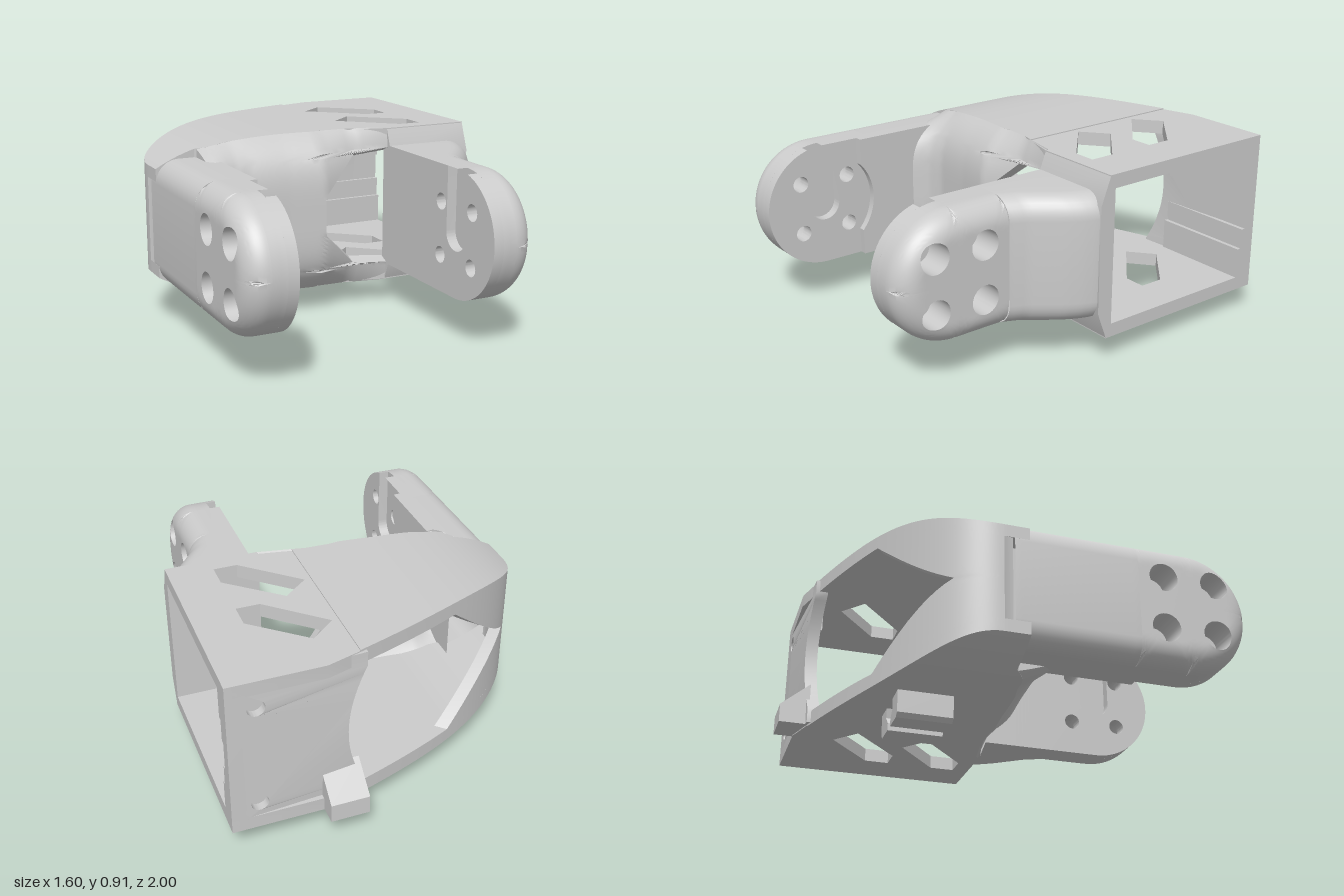
import * as THREE from 'three';
import { mergeGeometries, toCreasedNormals } from 'three/addons/utils/BufferGeometryUtils.js';

const MID = 0.515;          // height of the symmetry plane
const AZ = 0.695, AR = 0.305; // centre and radius of the rounded arm ends
const mat = new THREE.MeshStandardMaterial({ color: 0xcccccc, side: THREE.DoubleSide });
const V2 = (x, y) => new THREE.Vector2(x, y);

function add(parent, name, geo, crease = 0.6) {
  const m = new THREE.Mesh(toCreasedNormals(geo, crease), mat);
  m.name = name;
  parent.add(m);
  return m;
}

// Piecewise linear rule through [x, value] pairs
function interp(p, x) {
  for (let i = 1; i < p.length; i++) if (x <= p[i][0]) {
    const k = Math.max(0, (x - p[i - 1][0]) / (p[i][0] - p[i - 1][0]));
    return p[i - 1][1] + k * (p[i][1] - p[i - 1][1]);
  }
  return p[p.length - 1][1];
}

// Surface grid from f(u, v) -> [x, y, z]
function grid(f, nu, nv) {
  const pos = [], idx = [];
  for (let i = 0; i <= nu; i++) for (let j = 0; j <= nv; j++) pos.push(...f(i / nu, j / nv));
  for (let i = 0; i < nu; i++) for (let j = 0; j < nv; j++) {
    const a = i * (nv + 1) + j, b = a + nv + 1;
    idx.push(a, b, a + 1, b, b + 1, a + 1);
  }
  const g = new THREE.BufferGeometry();
  g.setAttribute('position', new THREE.Float32BufferAttribute(pos, 3));
  g.setIndex(idx);
  return g;
}

// Solid sheet between two surfaces
function slab(f, g, nu, nv) {
  const mix = (a, b, k) => a.map((c, i) => c + (b[i] - c) * k);
  return mergeGeometries([
    grid(f, nu, nv), grid((u, v) => g(1 - u, v), nu, nv),
    ...[0, 1].map(e => grid((u, k) => mix(f(u, e), g(u, e), k), nu, 1)),
    ...[0, 1].map(e => grid((k, v) => mix(f(e, v), g(e, v), k), 1, nv)),
  ]);
}

// Extrusions: profile in (z, y) along x, and profile in (x, y) along z
function extrudeX(shape, x0, x1) {
  return new THREE.ExtrudeGeometry(shape, { depth: x1 - x0, bevelEnabled: false, curveSegments: 20 })
    .rotateY(Math.PI / 2).translate(x0, 0, 0);
}
const profileX = (pts, x0, x1) => extrudeX(new THREE.Shape(pts.map(([z, y]) => V2(-z, y))), x0, x1);
function extrudeZ(shape, z0, z1) {
  return new THREE.ExtrudeGeometry(shape, { depth: z1 - z0, bevelEnabled: false, curveSegments: 20 }).translate(0, 0, z0);
}
const hole = (x, y, r) => new THREE.Path().absarc(x, y, r, 0, Math.PI * 2);

// Hull rules: back outline, crown height, front outline and its rounding
const backZ = x => -0.2 - 0.663 * Math.pow(Math.max(0, x + 0.8), 0.462);
const crown = x => 0.91 - 0.13 * Math.pow(Math.max(0, 1 - (x + 0.8) / 0.9), 4);
const frontZ = x => interp([[-0.57, 0.24], [-0.53, 0.19], [-0.48, 0.135], [-0.4, 0.11], [-0.2, 0.12], [-0.02, 0.14], [0.17, 0.07], [0.36, 0.07]], x);
const round = x => interp([[-0.6, 0.32], [-0.5, 0.18], [-0.4, 0.13], [0, 0.14], [0.2, 0.06], [0.36, 0.03]], x);

// One bolt arm; local x runs outwards from the inner face
function arm(name, z0, width) {
  const g = new THREE.Group(), w = 0.23, r = 0.11, zs = 0.44;
  g.name = name;
  const stadium = slot => {
    const s = new THREE.Shape();
    s.moveTo(-zs, MID - AR).lineTo(-zs, MID + AR).lineTo(-AZ, MID + AR);
    if (slot) {
      const a = Math.PI / 2 + Math.asin(0.08 / AR);
      s.curves.pop();
      s.lineTo(-AZ + 0.08, MID + AR).lineTo(-AZ + 0.08, MID);
      s.absarc(-AZ, MID, 0.08, 0, -Math.PI, true);
      s.absarc(-AZ, MID, AR, a, Math.PI * 1.5, false);
    } else s.absarc(-AZ, MID, AR, Math.PI / 2, Math.PI * 1.5, false);
    for (const z of [0.565, 0.82]) for (const k of [-1, 1]) s.holes.push(hole(-z, MID + k * 0.128, 0.04));
    return s;
  };
  add(g, 'slottedInnerFace', extrudeX(stadium(true), 0, 0.05));
  add(g, 'boltFloor', extrudeX(stadium(false), 0.05, 0.08));
  // Rounded outer face, one patch round each counterbore
  const outer = (z, y) => {
    const d = Math.max(0, AR - (z > AZ ? Math.hypot(z - AZ, y) : Math.abs(y)));
    return d >= r ? w : w - r + Math.sqrt(Math.max(0, r * r - (r - d) ** 2));
  };
  const parts = [];
  for (const cz of [0.565, 0.82]) for (const k of [-1, 1]) {
    const edge = [], N = 10;
    const line = (a, b) => { for (let i = 0; i < N; i++) edge.push([a[0] + (b[0] - a[0]) * i / N, a[1] + (b[1] - a[1]) * i / N]); };
    if (cz < AZ) {
      line([zs, 0], [AZ, 0]); line([AZ, 0], [AZ, AR]); line([AZ, AR], [zs, AR]); line([zs, AR], [zs, 0]);
    } else {
      line([AZ, 0], [AZ + AR, 0]);
      for (let i = 0; i < 20; i++) edge.push([AZ + AR * Math.cos(i * Math.PI / 40), AR * Math.sin(i * Math.PI / 40)]);
      line([AZ, AR], [AZ, 0]);
    }
    edge.push(edge[0]);
    const n = edge.length - 1;
    const rim = u => {
      const e = edge[Math.round(u * n)], a = Math.atan2(e[1] - 0.128, e[0] - cz);
      return [e, [cz + 0.07 * Math.cos(a), 0.128 + 0.07 * Math.sin(a)]];
    };
    parts.push(grid((u, v) => {
      const [e, h] = rim(u), q = 1 - (1 - v) ** 2;
      const z = h[0] + (e[0] - h[0]) * q, y = h[1] + (e[1] - h[1]) * q;
      return [outer(z, y), MID + k * y, z];
    }, n, 14));
    parts.push(grid((u, v) => {
      const h = rim(u)[1];
      return [0.08 + (outer(...h) - 0.08) * v, MID + k * h[1], h[0]];
    }, n, 1));
  }
  parts.push(grid((u, v) => {
    const a = Math.PI * (u - 0.5);
    return [0.08 + v * (w - r - 0.08), MID + AR * Math.sin(a), AZ + AR * Math.cos(a)];
  }, 40, 1));
  for (const k of [-1, 1]) parts.push(grid((u, v) => [0.08 + v * (w - r - 0.08), MID + k * AR, zs + u * (AZ - zs)], 1, 1));
  add(g, 'roundedOuterFace', mergeGeometries(parts), 0.5);
  // Root of the arm, a rounded section swept along z
  add(g, 'armRoot', grid((u, v) => {
    const z = z0 + (zs - z0) * u, W = width(z), pts = [[0, -AR], [0, AR]];
    for (let i = 0; i <= 8; i++) pts.push([W - r + r * Math.sin(i * Math.PI / 16), AR - r + r * Math.cos(i * Math.PI / 16)]);
    for (let i = 8; i >= 0; i--) pts.push([W - r + r * Math.sin(i * Math.PI / 16), r - AR - r * Math.cos(i * Math.PI / 16)]);
    pts.push(pts[0]);
    const p = pts[Math.round(v * (pts.length - 1))];
    return [p[0], MID + p[1], z];
  }, 20, 20), 0.5);
  return g;
}

export function createModel() {
  const model = new THREE.Group();
  model.name = 'bracket';

  // Domed upper and lower skins, and the flat window plates beside them
  for (const s of [1, -1]) {
    const skin = lower => (u, v) => {
      const x = -0.8 + u * u, z0 = backZ(x), z = z0 + v * (frontZ(x) - round(x) - z0);
      const y = lower ? Math.min(0.84, crown(x) - 0.06) : crown(x);
      return [x, MID + s * (y - MID), z];
    };
    add(model, s > 0 ? 'topSkin' : 'bottomSkin', slab(skin(false), skin(true), 32, 10));
    const plate = new THREE.Shape([V2(0.2, backZ(0.2)), V2(0.36, -0.91), V2(0.8, -0.91), V2(0.8, 0.05), V2(0.36, 0.05), V2(0.2, 0.01)]);
    for (const d of [0, 0.35]) plate.holes.push(new THREE.Path(
      [[0.23, -0.61], [0.35, -0.71], [0.59, -0.5], [0.59, -0.38], [0.48, -0.38]].map(([x, z]) => V2(x, z + d))));
    const geo = extrudeZ(plate, 0, 0.065).rotateX(Math.PI / 2).translate(0, s > 0 ? 0.905 : 0.19, 0);
    add(model, s > 0 ? 'topWindowPlate' : 'bottomWindowPlate', geo);
  }

  // Front wall, ending at the angular opening
  const front = depth => (u, v) => {
    const t = 2 * v - 1, dy = Math.abs(t) * 0.395;
    const xr = dy < 0.095 ? -0.02 : dy < 0.286 ? -0.02 + 0.2 * (dy - 0.095) / 0.19 : 0.36;
    const x = -0.6 + u * (xr + 0.6);
    return [x, MID + t * (crown(x) - MID - depth * 0.6), frontZ(x) - round(x) * t ** 4 - depth];
  };
  add(model, 'frontWall', slab(front(0), front(0.05), 30, 40));

  // Curved back wall, cut to a notch
  const back = depth => (u, v) => {
    const t = 2 * v - 1, xl = -0.72 + 0.47 * Math.abs(t);
    const x = -0.8 + (xl + 0.8) * u * u;
    return [x + depth * 0.6, MID + t * (crown(x) - MID - depth * 0.3), backZ(x) + depth];
  };
  add(model, 'curvedBackWall', slab(back(0), back(0.05), 24, 32));

  // Flat back wall with an arched edge and screw holes
  const wall = new THREE.Shape();
  wall.moveTo(0.8, 0.13).lineTo(0.8, 0.9).lineTo(0.17, 0.9).lineTo(0.17, 0.83);
  wall.quadraticCurveTo(0.35, MID, 0.17, 0.2).lineTo(0.17, 0.13).lineTo(0.8, 0.13);
  for (const y of [0.26, 0.77]) wall.holes.push(hole(0.67, y, 0.04));
  const wallGeo = extrudeZ(wall, -0.91, -0.85), wp = wallGeo.attributes.position;
  for (let i = 0; i < wp.count; i++) wp.setZ(i, wp.getZ(i) + Math.max(0, 0.36 - wp.getX(i)) * 0.2);
  add(model, 'backWall', wallGeo);

  // Stepped guide rails inside the back wall
  for (const [y0, y1, z1] of [[0.19, 0.34, -0.81], [0.34, 0.44, -0.83], [0.58, 0.69, -0.83], [0.69, 0.85, -0.81]])
    add(model, 'guideRail', new THREE.BoxGeometry(0.5, y1 - y0, z1 + 0.87).translate(0.55, (y0 + y1) / 2, (z1 - 0.87) / 2));

  // Bevelled front frame of the open housing
  add(model, 'frontFrame', profileX([[0.02, 0.13], [0.05, 0.13], [0.1, 0.26], [0.1, 0.77], [0.05, 0.9], [0.02, 0.9]], 0.36, 0.8));

  // Arms: a straight one and a flared one
  const straight = arm('rightArm', -0.15, () => 0.23);
  straight.scale.x = -1;
  straight.position.x = -0.57;
  const flared = arm('leftArm', 0.05, z => interp([[0.05, 0.44], [0.1, 0.435], [0.16, 0.41], [0.22, 0.375], [0.28, 0.33], [0.36, 0.27], [0.44, 0.235]], z));
  flared.position.x = 0.36;
  model.add(straight, flared);

  // Inner step with a round cut on the straight arm
  const step = [[0.05, 0.82], [0.05, 0.21], [0.5, 0.21]];
  for (let i = 0; i <= 12; i++) {
    const a = Math.PI + 0.74 * (1 - i / 6);
    step.push([AZ + 0.26 * Math.cos(a), MID + 0.26 * Math.sin(a)]);
  }
  step.push([0.5, 0.82]);
  // The cut runs from the lower to the upper edge
  const cut = step.slice(3, -1).sort((a, b) => a[1] - b[1]);
  add(model, 'armStep', profileX([...step.slice(0, 3), ...cut, [0.5, 0.82]], -0.575, -0.535));

  // Cable clip under the hull
  for (const s of [1, -1]) {
    const hook = [[0.155, 0.15], [0.155, 0.02], [0.135, 0], [0.025, 0], [0.025, 0.035], [0.065, 0.075], [0.05, 0.15]];
    add(model, 'cableClip', extrudeZ(new THREE.Shape(hook.map(([x, y]) => V2(-0.185 + s * x, y))), -0.55, -0.29));
  }

  // Wedge stop at the back
  add(model, 'backStop', profileX([[-0.86, 0.13], [-1, 0.13], [-1, 0.22], [-0.86, 0.34]], 0.2, 0.38));
  return model;
}
